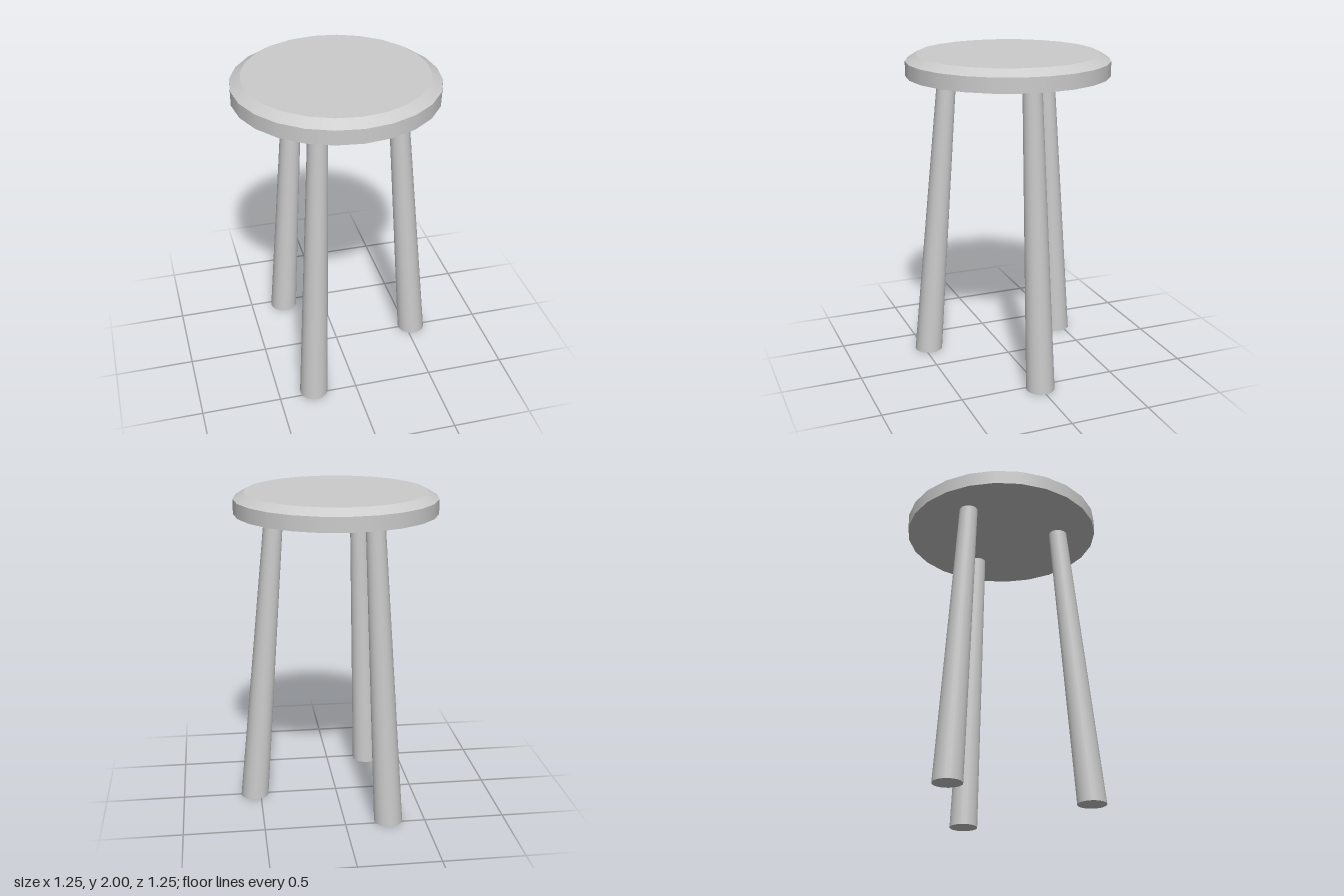
import * as THREE from 'three';

const SIDES = 24;
const SEAT_BOTTOM = 1.87, SEAT_SHOULDER = 1.96, SEAT_TOP = 2;

export function createModel() {
  const group = new THREE.Group();
  const material = new THREE.MeshStandardMaterial({ color: 0xcccccc });

  const add = (name, geometry, parent) => {
    const mesh = new THREE.Mesh(geometry, material);
    mesh.name = name;
    parent.add(mesh);
    return mesh;
  };

  // Upright or tapered round section between two heights
  const round = (rTop, rBottom, y0, y1, open = false) =>
    new THREE.CylinderGeometry(rTop, rBottom, y1 - y0, SIDES, 1, open).translate(0, (y0 + y1) / 2, 0);

  // Seat: straight rim disc with a bevelled upper edge
  const seat = new THREE.Group();
  seat.name = 'seat';
  add('seatRim', round(0.625, 0.625, SEAT_BOTTOM, SEAT_SHOULDER), seat);
  add('seatBevel', round(0.56, 0.625, SEAT_SHOULDER, SEAT_TOP), seat);
  group.add(seat);

  // Legs: tapered and sheared outward so both ends stay level
  const legGeometry = round(0.0585, 0.089, 0, SEAT_BOTTOM);
  const pos = legGeometry.attributes.position;
  for (let i = 0; i < pos.count; i++) {
    const t = pos.getY(i) / SEAT_BOTTOM;
    pos.setX(i, pos.getX(i) + THREE.MathUtils.lerp(0.54, 0.38, t));
  }

  ['leftLeg', 'backRightLeg', 'frontRightLeg'].forEach((name, i) => {
    add(name, legGeometry, group).rotation.y = (i * Math.PI * 2) / 3;
  });

  // Balance the outline about x = 0
  group.children.forEach((part) => { part.position.x = -0.003; });
  return group;
}
